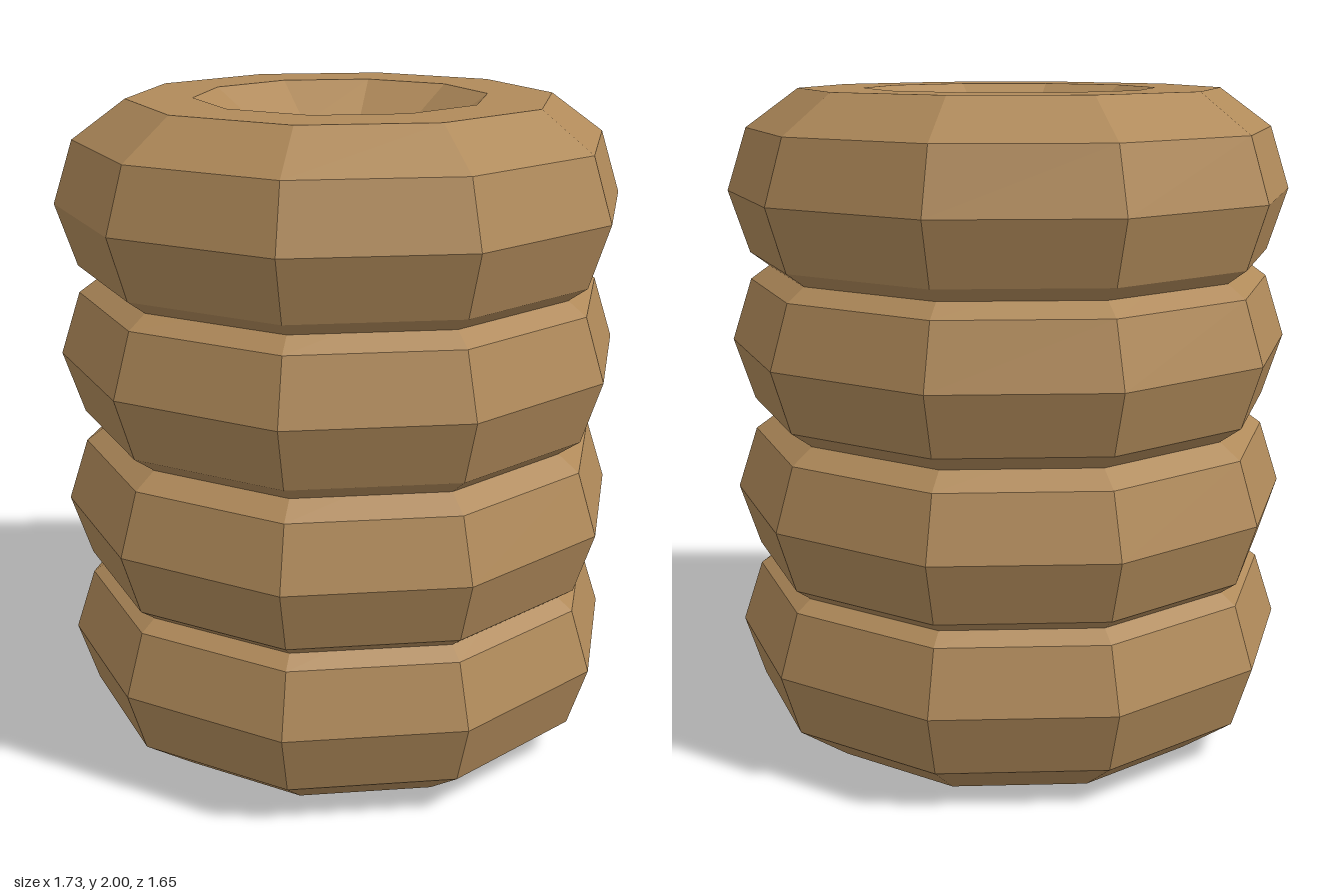
import * as THREE from 'three';

export function createModel() {
  const group = new THREE.Group();
  group.name = 'ringStack';

  const tan = new THREE.MeshStandardMaterial({ color: 0xb08a5a, flatShading: true });
  tan.name = 'tan';

  // One ten-sided ring, laid flat
  const ring = new THREE.TorusGeometry(0.5425, 0.3225, 10, 10);
  ring.rotateX(-Math.PI / 2);

  // Four overlapping rings stacked around an open centre
  [0.307, 0.755, 1.231, 1.693].forEach((y, i) => {
    const mesh = new THREE.Mesh(ring, tan);
    mesh.name = `ring${i + 1}`;
    mesh.position.y = y;
    group.add(mesh);
  });

  return group;
}
